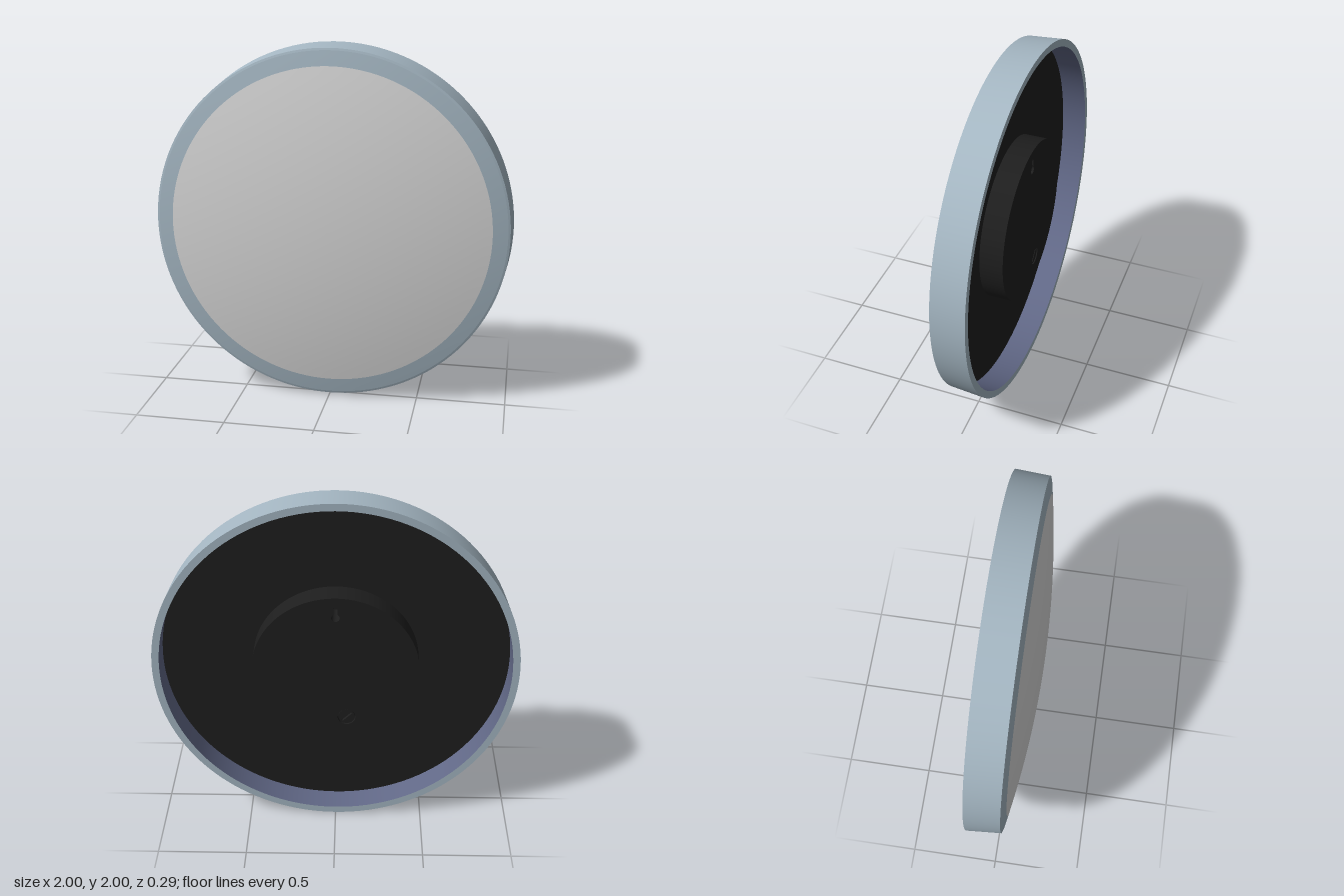
import * as THREE from 'three';

const SEG = 128;

function material(name, color) {
  const m = new THREE.MeshStandardMaterial({ color });
  m.name = name;
  return m;
}

export function createModel() {
  const group = new THREE.Group();
  const blue = material('blue grey casing', 0xa5b7c3);
  const slate = material('slate inner wall', 0x626988);
  const pale = material('pale grey face', 0xd8d8d8);
  const black = material('black back', 0x1e1e1e);

  const add = (name, geometry, mat, x = 0, y = 1, z = 0) => {
    const mesh = new THREE.Mesh(geometry, mat);
    mesh.name = name;
    mesh.position.set(x, y, z);
    group.add(mesh);
    return mesh;
  };

  // Profile of [radius, z] pairs turned about the front-to-back axis
  const turn = (name, points, mat) => add(name, new THREE.LatheGeometry(
    points.map(([r, z]) => new THREE.Vector2(r, z)), SEG).rotateX(Math.PI / 2), mat);

  // Shallow dome shared by the border and the face
  const domeZ = (r) => 0.145 - 0.095 * (r / 0.975) ** 2;
  const dome = (from, to, steps) => Array.from({ length: steps + 1 }, (_, i) => {
    const r = from + (to - from) * i / steps;
    return [r, domeZ(r)];
  });

  // Casing, one sharp-edged band at a time
  turn('innerWall', [[0.96, -0.005], [0.96, -0.145]], slate);
  turn('backRim', [[0.96, -0.145], [1, -0.145]], blue);
  turn('outerWall', [[1, -0.145], [0.987, 0.046]], blue);
  turn('frontLip', [[0.987, 0.046], [0.975, domeZ(0.975)]], blue);
  turn('frontBorder', dome(0.975, 0.893, 4), blue);
  turn('face', dome(0.893, 0, 20), pale);

  // Recessed back plate
  add('backPlate', new THREE.CircleGeometry(0.96, SEG).rotateY(Math.PI), black, 0, 1, -0.005);

  // Round boss with a keyhole and a screw recess, extruded towards the back
  const extrudeBack = (shape, depth, curveSegments) => new THREE.ExtrudeGeometry(shape,
    { depth, bevelEnabled: false, curveSegments }).rotateY(Math.PI);
  const circle = (Type, x, y, r) => new Type().absarc(x, y, r, 0, Math.PI * 2, false);

  const screwX = 0.062, screwY = -0.305;
  const boss = circle(THREE.Shape, 0, 0, 0.457);
  const keyhole = new THREE.Path();
  keyhole.absarc(0, 0.338, 0.023, Math.PI * 0.65, Math.PI * 2.35, false);
  keyhole.absarc(0, 0.395, 0.01, 0, Math.PI, false);
  keyhole.closePath();
  boss.holes.push(keyhole, circle(THREE.Path, screwX, screwY, 0.05));
  add('mountingBoss', extrudeBack(boss, 0.13, 96), black, 0, 1, -0.005);

  // Slotted screw set just below the boss surface
  const head = circle(THREE.Shape, 0, 0, 0.046);
  const slot = [[-0.038, -0.007], [0.038, -0.007], [0.038, 0.007], [-0.038, 0.007]]
    .map(([x, y]) => new THREE.Vector2(x, y).rotateAround(new THREE.Vector2(), Math.PI / 4));
  head.holes.push(new THREE.Path(slot));
  add('screwHead', extrudeBack(head, 0.02, 32), black, -screwX, 1 + screwY, -0.11);
  add('screwBase', new THREE.CircleGeometry(0.05, 32).rotateY(Math.PI), black,
    -screwX, 1 + screwY, -0.112);

  return group;
}
